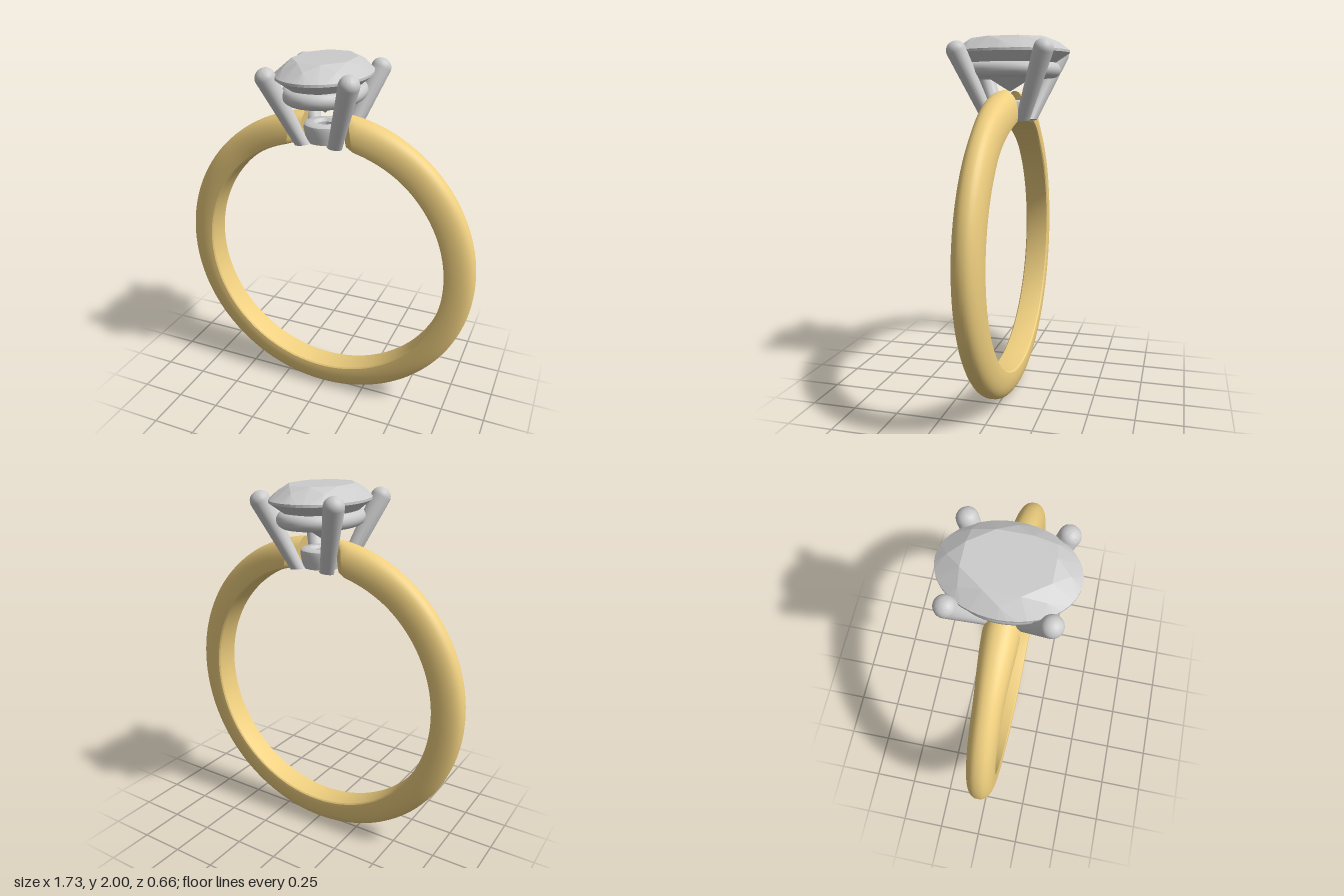
import * as THREE from 'three';
import { toCreasedNormals } from 'three/addons/utils/BufferGeometryUtils.js';
import { ConvexGeometry } from 'three/addons/geometries/ConvexGeometry.js';

const CY = 0.864, R_IN = 0.705; // finger hole
const gold = new THREE.MeshStandardMaterial({ color: 0xefcf7f });
const silver = new THREE.MeshStandardMaterial({ color: 0xcccccc });
const gemMaterial = new THREE.MeshStandardMaterial({ color: 0xcccccc, flatShading: true });

function add(parent, name, geometry, material) {
  const mesh = new THREE.Mesh(geometry, material);
  mesh.name = name;
  parent.add(mesh);
  return mesh;
}

// Section of the band as [z / half width, radius]: domed outside, nearly flat inside
function bandSection() {
  const pts = [];
  for (let j = 0; j <= 20; j++) {
    const u = (j / 20) * Math.PI, c = Math.cos(u);
    pts.push([Math.sign(c) * Math.abs(c) ** 0.85, 0.735 + 0.129 * Math.sin(u) ** 0.9]);
  }
  pts.push([-0.97, 0.715], [-0.88, 0.708], [-0.45, R_IN], [0, R_IN], [0.45, R_IN], [0.88, 0.708], [0.97, 0.715]);
  return pts;
}

// Open band, widening toward the head and ending in tapered tips
function bandGeometry() {
  const section = bandSection(), n = section.length, rows = 128;
  const pos = [], index = [];
  for (let i = -1; i <= rows + 1; i++) {
    const tip = i < 0 || i > rows;
    const k = Math.min(Math.max(i, 0), rows) / rows;
    for (const [s, r] of section) {
      const a0 = 0.27 - ((r - R_IN) / 0.16) * 0.1; // slanted cut at both ends
      const start = tip ? a0 * 0.72 : a0;
      const a = start + (2 * Math.PI - 2 * start) * k;
      const fromTop = Math.min(a, 2 * Math.PI - a);
      const w = 0.075 + 0.017 * (1 - THREE.MathUtils.smoothstep(fromTop, 0.2, 0.75));
      pos.push(r * Math.sin(a), CY + r * Math.cos(a), s * w * (tip ? 0.55 : 1));
    }
  }
  for (let i = 0; i < rows + 2; i++) {
    for (let j = 0; j < n; j++) {
      const a = i * n + j, c = i * n + ((j + 1) % n);
      index.push(a, a + n, c, c, a + n, c + n);
    }
  }
  // close both tips
  for (const [first, side] of [[0, 1], [(rows + 2) * n, -1]]) {
    const centre = pos.length / 3;
    pos.push(side * 0.12, CY + 0.78, 0);
    for (let j = 0; j < n; j++) {
      const a = first + j, b = first + ((j + 1) % n);
      index.push(centre, ...(side > 0 ? [a, b] : [b, a]));
    }
  }
  const g = new THREE.BufferGeometry();
  g.setAttribute('position', new THREE.Float32BufferAttribute(pos, 3));
  g.setIndex(index);
  return toCreasedNormals(g, 0.6);
}

// Oval brilliant as the hull of its facet rings
function gemGeometry() {
  const RX = 0.24, RZ = 0.328, pts = [];
  const ring = (count, scale, y, turn = 0) => {
    for (let i = 0; i < count; i++) {
      const a = ((i + turn) / count) * Math.PI * 2;
      pts.push(new THREE.Vector3(RX * scale * Math.cos(a), y, RZ * scale * Math.sin(a)));
    }
  };
  ring(8, 0.66, 2.0, 0.5);   // table
  ring(8, 0.83, 1.972);      // crown kites
  ring(48, 1, 1.93);         // girdle
  ring(48, 1, 1.917);
  ring(8, 0.55, 1.822, 0.5); // pavilion
  pts.push(new THREE.Vector3(0, 1.715, 0));
  return new ConvexGeometry(pts);
}

// Oval rail under the gem
class Oval extends THREE.Curve {
  getPoint(t, target = new THREE.Vector3()) {
    const a = t * Math.PI * 2;
    return target.set(0.172 * Math.cos(a), 1.828, 0.238 * Math.sin(a));
  }
}

// Leaning prong with a domed tip, cut off along the finger hole
function prongGeometry(sx, sz) {
  const foot = new THREE.Vector3(sx * 0.082, 1.53, sz * 0.083);
  const tip = new THREE.Vector3(sx * 0.231, 1.955, sz * 0.245);
  const axis = tip.clone().sub(foot), len = axis.length();
  const profile = [[0, 0], [0.038, 0], [0.038, 0.04], [0.053, len - 0.035]];
  for (let i = 1; i <= 6; i++) {
    const a = (i / 6) * Math.PI / 2;
    profile.push([0.053 * Math.cos(a), len - 0.035 + 0.048 * Math.sin(a)]);
  }
  const g = new THREE.LatheGeometry(profile.map(([x, y]) => new THREE.Vector2(Math.max(x, 0), y)), 24);
  g.applyQuaternion(new THREE.Quaternion().setFromUnitVectors(new THREE.Vector3(0, 1, 0), axis.normalize()));
  g.translate(foot.x, foot.y, foot.z);
  const p = g.attributes.position;
  for (let i = 0; i < p.count; i++) {
    const floor = CY + Math.sqrt(R_IN ** 2 - p.getX(i) ** 2);
    if (p.getY(i) < floor) p.setY(i, floor);
  }
  return toCreasedNormals(g, 0.7);
}

export function createModel() {
  const model = new THREE.Group();
  model.name = 'ring';
  add(model, 'band', bandGeometry(), gold);

  const head = new THREE.Group();
  head.name = 'head';
  model.add(head);
  add(head, 'gem', gemGeometry(), gemMaterial);
  add(head, 'rail', new THREE.TubeGeometry(new Oval(), 96, 0.041, 16, true), silver);

  // Collar joining the feet of the prongs, open in the middle
  const collar = [[0.045, 1.567], [0.1, 1.567], [0.106, 1.6], [0.114, 1.64], [0.112, 1.66],
    [0.1, 1.67], [0.06, 1.67], [0.045, 1.655], [0.045, 1.567]];
  const collarGeometry = new THREE.LatheGeometry(collar.map(([x, y]) => new THREE.Vector2(x, y)), 40);
  add(head, 'collar', toCreasedNormals(collarGeometry, 0.7), silver);

  for (const sx of [1, -1]) {
    for (const sz of [1, -1]) {
      add(head, `${sz > 0 ? 'front' : 'back'}${sx > 0 ? 'Left' : 'Right'}Prong`, prongGeometry(sx, sz), silver);
    }
  }
  return model;
}
